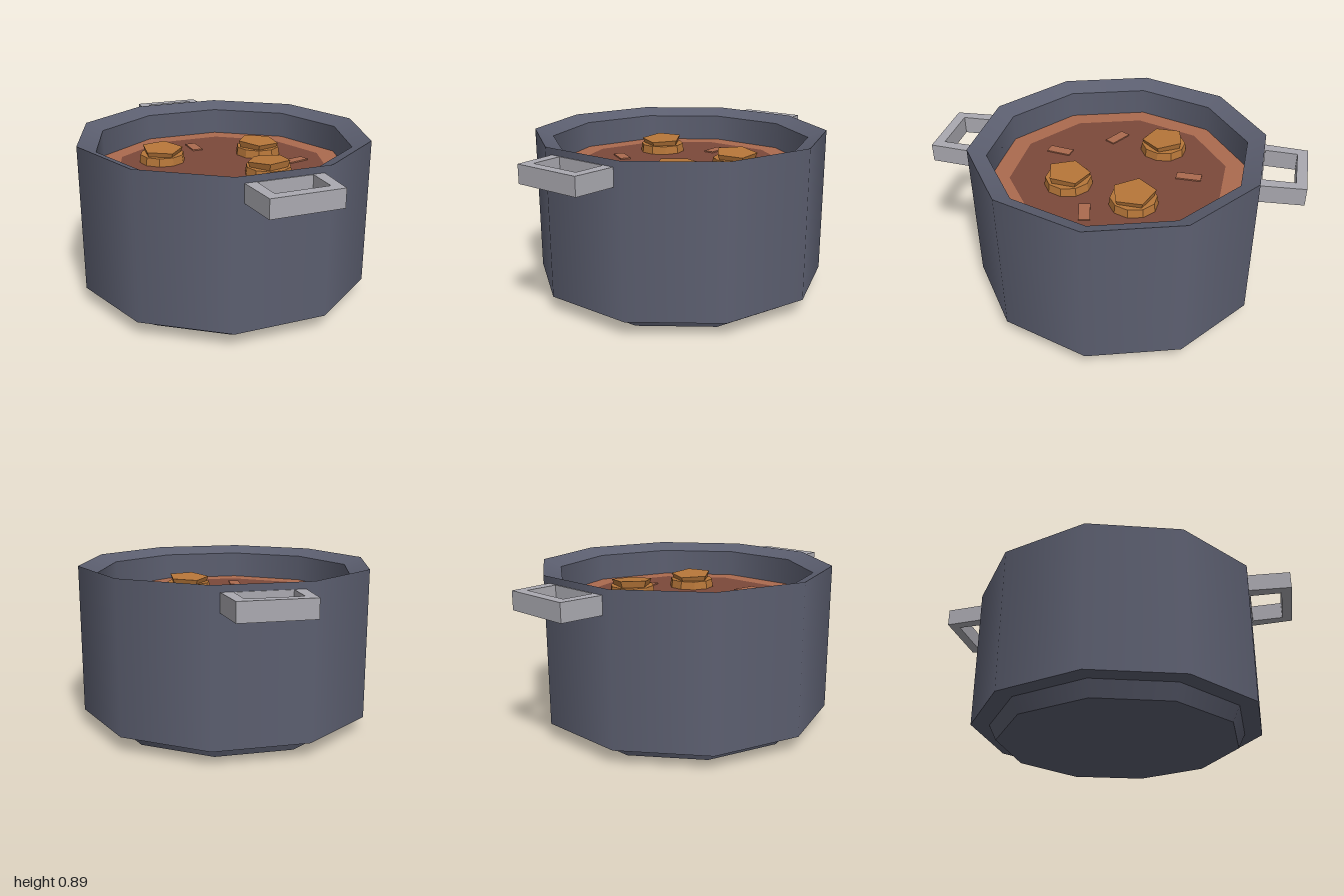
import * as THREE from 'three';

const paint = (name, color, extra = {}) => {
  const m = new THREE.MeshStandardMaterial({ color, ...extra });
  m.name = name;
  return m;
};

export function createModel() {
  const root = new THREE.Group();
  root.name = 'stewPot';
  const slate = paint('slate enamel', 0x5c5f70);
  const steel = paint('handle steel', 0xaaa9b0);
  const broth = paint('dark broth', 0x7c493a);
  const rust = paint('light broth', 0xab6a4e);
  const amber = paint('potato amber', 0xb67639, { flatShading: true });

  const add = (name, geometry, material, parent = root) => {
    const mesh = new THREE.Mesh(geometry, material);
    mesh.name = name;
    parent.add(mesh);
    return mesh;
  };

  // Ten-sided ring from (r0, y0) to (r1, y1), smooth around, crisp at its edges
  const band = (name, r0, y0, r1, y1, material) => add(name, new THREE.LatheGeometry(
    [new THREE.Vector2(r0, y0), new THREE.Vector2(r1, y1)], 10, Math.PI / 2), material);

  // Pot shell, from the base up and back down inside
  band('base', 0, 0, 0.67, 0, slate);
  band('foot', 0.67, 0, 0.71, 0.083, slate);
  band('underside', 0.71, 0.083, 0.81, 0.083, slate);
  band('outerWall', 0.81, 0.083, 0.81, 0.89, slate);
  band('rim', 0.81, 0.89, 0.71, 0.85, slate);
  band('innerWall', 0.71, 0.85, 0.71, 0.69, slate);

  // Stew surface
  band('stewEdge', 0.71, 0.7, 0.6, 0.7, rust);
  band('stew', 0.6, 0.7, 0, 0.7, broth);

  // Tapered loop handles, front and back
  const outline = (pts) => pts.map(([x, y]) => new THREE.Vector2(x, y));
  const loop = new THREE.Shape(outline([[-0.21, 0.72], [0.21, 0.72], [0.19, 1], [-0.19, 1]]));
  loop.holes.push(new THREE.Path(outline([[-0.145, 0.776], [-0.14, 0.945], [0.14, 0.945], [0.145, 0.776]])));
  const handleGeo = new THREE.ExtrudeGeometry(loop, { depth: 0.097, bevelEnabled: false });
  handleGeo.rotateX(Math.PI / 2).translate(0, 0.855, 0);
  add('frontHandle', handleGeo, steel);
  add('backHandle', handleGeo, steel).rotation.y = Math.PI;

  // Potato chunks: a many-sided body under a tilted five-sided cut
  const chunks = [[-0.29, -0.2, 0.2], [0.28, -0.14, 0.9], [0.17, 0.24, 3.4]];
  chunks.forEach(([x, z, turn]) => {
    const chunk = new THREE.Group();
    chunk.name = 'potatoChunk';
    chunk.position.set(x, 0.7, z);
    chunk.rotation.y = turn;
    root.add(chunk);
    const body = add('chunkBody', new THREE.CylinderGeometry(0.124, 0.132, 0.06, 10), amber, chunk);
    body.position.y = 0.015;
    const cut = add('chunkTop', new THREE.CylinderGeometry(0.12, 0.105, 0.04, 5), amber, chunk);
    cut.position.y = 0.056;
    cut.rotation.x = 0.07;
  });

  // Floating slivers
  const slivers = [[-0.03, -0.385, 1.57], [-0.36, 0.087, -0.53], [0.41, 0.09, 0.235], [-0.145, 0.378, 1.42]];
  slivers.forEach(([x, z, turn]) => {
    const sliver = add('sliver', new THREE.BoxGeometry(0.137, 0.008, 0.06), rust);
    sliver.position.set(x, 0.703, z);
    sliver.rotation.y = turn;
  });

  return root;
}
